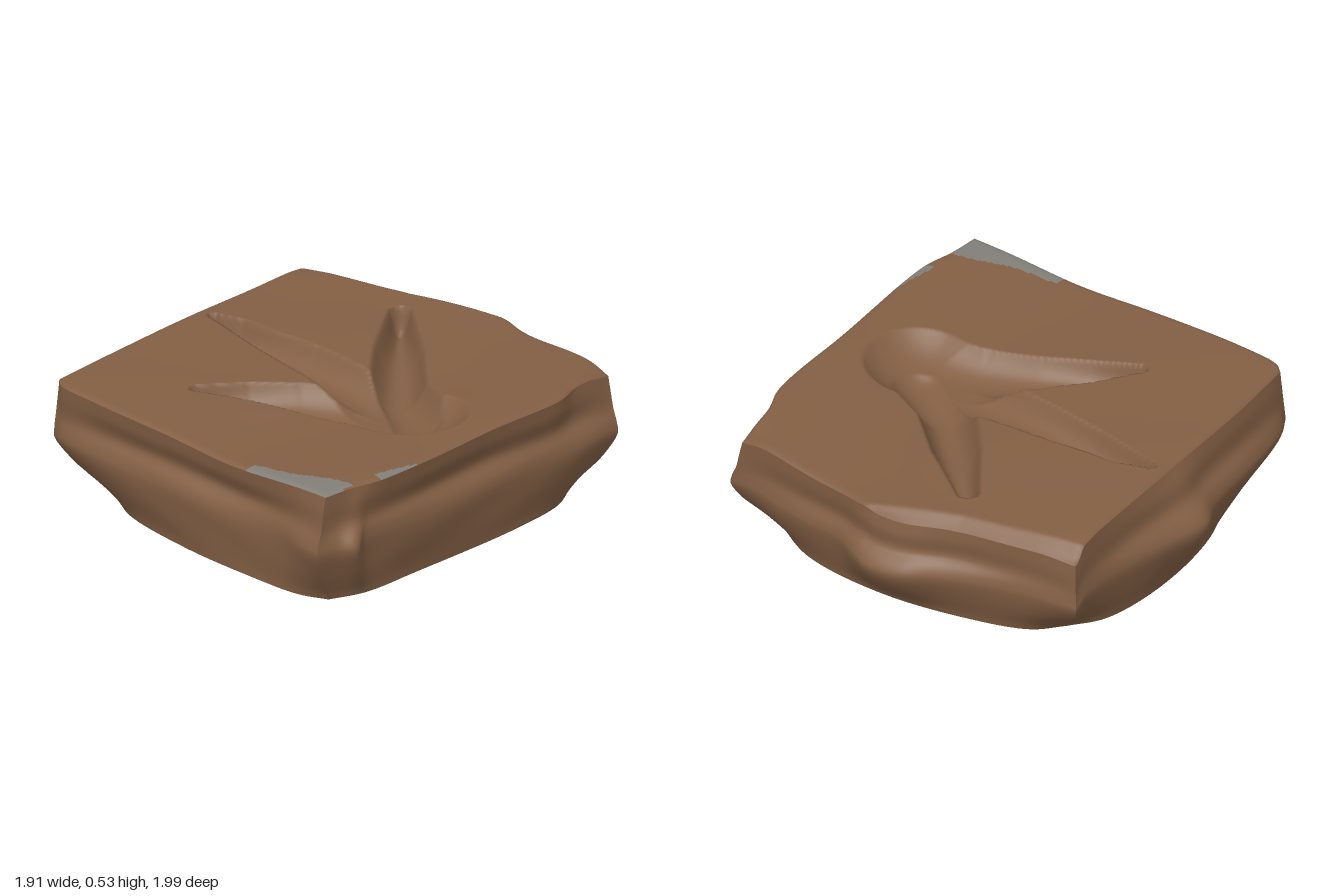
import * as THREE from 'three';

const curve = (pts) => {
  const c = new THREE.CatmullRomCurve3(pts.map(([x, z]) => new THREE.Vector3(x, 0, z)), false, 'centripetal');
  c.arcLengthDivisions = 600;
  return c;
};

// Outlines as [x, z] edges: back and front run left to right, left and right run back to front
const rim = {
  back: curve([[-.84, -.74], [-.55, -.79], [-.3, -.84], [-.08, -.91], [.1, -.93], [.25, -.9], [.5, -.875], [.81, -.83]]),
  front: curve([[-.76, .86], [-.71, .9], [-.5, .925], [0, .935], [.5, .94], [.87, .94]]),
  left: curve([[-.84, -.74], [-.83, -.62], [-.82, -.4], [-.81, 0], [-.79, .5], [-.76, .86]]),
  right: curve([[.81, -.83], [.84, -.6], [.89, -.45], [.9, 0], [.915, .3], [.922, .5], [.917, .66], [.885, .8], [.87, .94]]),
};
const belly = {
  back: curve([[-.85, -.75], [-.55, -.81], [-.25, -.9], [-.1, -.98], [.05, -1], [.15, -.97], [.27, -.91], [.5, -.88], [.88, -.82]]),
  front: curve([[-.77, .88], [-.7, .91], [-.5, .93], [0, .945], [.6, .95], [.75, .98], [.87, .99]]),
  left: curve([[-.85, -.75], [-.85, -.65], [-.87, -.45], [-.92, -.15], [-.96, .05], [-.9, .2], [-.86, .5], [-.81, .8], [-.77, .88]]),
  right: curve([[.88, -.82], [.91, -.5], [.92, 0], [.925, .5], [.92, .75], [.95, .83], [.9, .9], [.87, .99]]),
};
const base = {
  back: curve([[-.69, -.59], [-.58, -.7], [-.3, -.79], [.1, -.84], [.5, -.79], [.76, -.64]]),
  front: curve([[-.6, .68], [-.4, .82], [0, .9], [.4, .92], [.68, .91], [.81, .86]]),
  left: curve([[-.69, -.59], [-.79, -.45], [-.84, -.1], [-.78, .35], [-.6, .68]]),
  right: curve([[.76, -.64], [.84, -.5], [.88, -.2], [.88, .4], [.87, .7], [.81, .86]]),
};
// How far each side's groove cuts in at its middle
const grooves = { front: .05, right: .045, back: .03, left: .02 };

// Footprint strokes: [x, z, half width] along each toe, then the heel
const strokes = [
  { depth: .1, pts: [[-.73, -.04, .02], [-.6, -.045, .055], [-.4, -.03, .085], [-.2, -.02, .11], [.2, .01, .14], [.5, .04, .2]] },
  { depth: .13, pts: [[-.215, -.635, .045], [.03, -.375, .105], [.26, -.13, .125], [.5, .02, .17]] },
  { depth: .1, pts: [[-.27, .53, .03], [-.1, .39, .085], [.08, .27, .13], [.3, .16, .17], [.5, .06, .23]] },
  { depth: .1, pts: [[.3, .08, .22], [.53, .06, .24]] },
];

function printDepth(x, z) {
  let best = 0;
  for (const { depth, pts } of strokes) {
    for (let k = 0; k + 1 < pts.length; k++) {
      const [ax, az, ar] = pts[k], [bx, bz, br] = pts[k + 1];
      const dx = bx - ax, dz = bz - az;
      const t = THREE.MathUtils.clamp(((x - ax) * dx + (z - az) * dz) / (dx * dx + dz * dz), 0, 1);
      const f = Math.hypot(x - ax - dx * t, z - az - dz * t) / (ar + (br - ar) * t);
      if (f < 1) best = Math.max(best, depth * (1 - f ** 2.4));
    }
  }
  return best;
}

// Height of the upper face; e is the distance from the rim
function topHeight(x, z, e) {
  const { smoothstep } = THREE.MathUtils;
  let y = .525 - .03 * Math.exp(-(((x - .3) / .3) ** 2)) - .008 * smoothstep(-z, 0, .8);
  y += .003 * Math.sin(7 * x + 3 * z) * Math.sin(5 * z - 2 * x);
  y -= .01 * Math.exp(-e / .012);
  // Worn strip along the back left, outside a slanting ridge
  const ridge = x < -.3 ? .78 + .22 * (x + .3) : .78 + .33 * (x + .3);
  y -= .05 * smoothstep(-z - ridge, 0, .07) * (1 - smoothstep(x, .05, .15));
  // Worn back corners
  for (const [cx, cz, drop] of [[-.85, -.75, .02], [.85, -.85, .035]]) {
    y -= drop * Math.exp(-((x - cx) ** 2 + (z - cz) ** 2) / .012);
  }
  return y - printDepth(x, z);
}

// Grid surface facing dv x du; pick(x, z) gives the material slot of each cell
function grid(n, m, fn, pick) {
  const pos = [], slots = [[], []];
  for (let j = 0; j <= m; j++) for (let i = 0; i <= n; i++) pos.push(...fn(i, j));
  for (let j = 0; j < m; j++) {
    for (let i = 0; i < n; i++) {
      const a = j * (n + 1) + i, b = a + 1, c = a + n + 1, d = c + 1;
      const slot = pick ? pick((pos[a * 3] + pos[d * 3]) / 2, (pos[a * 3 + 2] + pos[d * 3 + 2]) / 2) : 0;
      slots[slot].push(a, c, b, b, c, d);
    }
  }
  const g = new THREE.BufferGeometry();
  g.setAttribute('position', new THREE.Float32BufferAttribute(pos, 3));
  g.setIndex([...slots[0], ...slots[1]]);
  g.addGroup(0, slots[0].length, 0);
  if (slots[1].length) g.addGroup(slots[0].length, slots[1].length, 1);
  g.computeVertexNormals();
  return g;
}

export function createModel() {
  const N = 190, M = 28;
  const clay = new THREE.MeshStandardMaterial({ color: 0x835f44 });
  clay.name = 'brown clay';
  const stone = new THREE.MeshStandardMaterial({ color: 0x827e78 });
  stone.name = 'grey stone';
  const group = new THREE.Group();
  group.name = 'footprintSlab';
  const add = (name, geometry, material) => {
    const mesh = new THREE.Mesh(geometry, material);
    mesh.name = name;
    group.add(mesh);
  };

  // Upper face: blended between the four rim edges, with the footprint pressed in
  const r = {};
  for (const k in rim) r[k] = rim[k].getSpacedPoints(N);
  const blend = (i, j, k) => {
    const u = i / N, v = j / N;
    return (1 - v) * r.back[i][k] + v * r.front[i][k] + (1 - u) * r.left[j][k] + u * r.right[j][k]
      - (1 - v) * ((1 - u) * r.back[0][k] + u * r.back[N][k]) - v * ((1 - u) * r.front[0][k] + u * r.front[N][k]);
  };
  const bare = (x, z) => {
    const corner = x > .4 && x < .875 && z > .895 - .235 * (x - .4) + .01 * Math.sin(16 * (x - .5));
    const edge = z > .42 && z < .65 && x > .92 - .21 * (z - .42);
    return corner || edge ? 1 : 0;
  };
  add('topFace', grid(N, N, (i, j) => {
    const x = blend(i, j, 'x'), z = blend(i, j, 'z');
    return [x, topHeight(x, z, 2 * Math.min(i, j, N - i, N - j) / N), z];
  }, bare), [clay, stone]);

  // Sides: overhanging rim, groove fading at the corners, bulging belly, tapered foot
  const outline = {};
  for (const side of ['front', 'right', 'back', 'left']) {
    const R = r[side], W = belly[side].getSpacedPoints(N), B = base[side].getSpacedPoints(N);
    const columns = R.map((p, i) => {
      const h = topHeight(p.x, p.z, 0);
      const cut = grooves[side] * Math.sin(Math.PI * i / N) ** .7;
      const at = (a, b, t, s, y) => a.clone().lerp(b, t).multiplyScalar(s).setY(y * h);
      const profile = new THREE.CatmullRomCurve3([
        at(p, W[i], 0, 1, 1), at(p, W[i], .25, 1 - cut * .3, .87), at(p, W[i], .5, 1 - cut, .71), at(p, W[i], .85, 1 - cut * .25, .6),
        at(W[i], B[i], 0, 1, .5), at(W[i], B[i], .3, 1, .3), at(W[i], B[i], .85, 1, .08), at(B[i], B[i], 0, 1, 0),
      ]);
      return profile.getPoints(M).map((q, j) => {
        const s = 1 + .004 * Math.sin(Math.PI * j / M) * Math.sin(9 * q.x + 14 * q.y) * Math.sin(8 * q.z + 11 * q.y);
        return [q.x * s, Math.max(q.y, 0), q.z * s];
      });
    });
    if (side === 'right' || side === 'back') columns.reverse();
    outline[side] = columns.map((c) => c[M]);
    add(side + 'Side', grid(N, M, (i, j) => columns[i][j]), clay);
  }

  // Flat underside, fanned from the centre
  const ring = ['front', 'right', 'back', 'left'].flatMap((s) => outline[s].slice(0, N));
  const under = new THREE.BufferGeometry();
  under.setAttribute('position', new THREE.Float32BufferAttribute([0, 0, 0, ...ring.flat()], 3));
  under.setIndex(ring.flatMap((_, i) => [0, (i + 1) % ring.length + 1, i + 1]));
  under.computeVertexNormals();
  add('underside', under, clay);
  return group;
}
